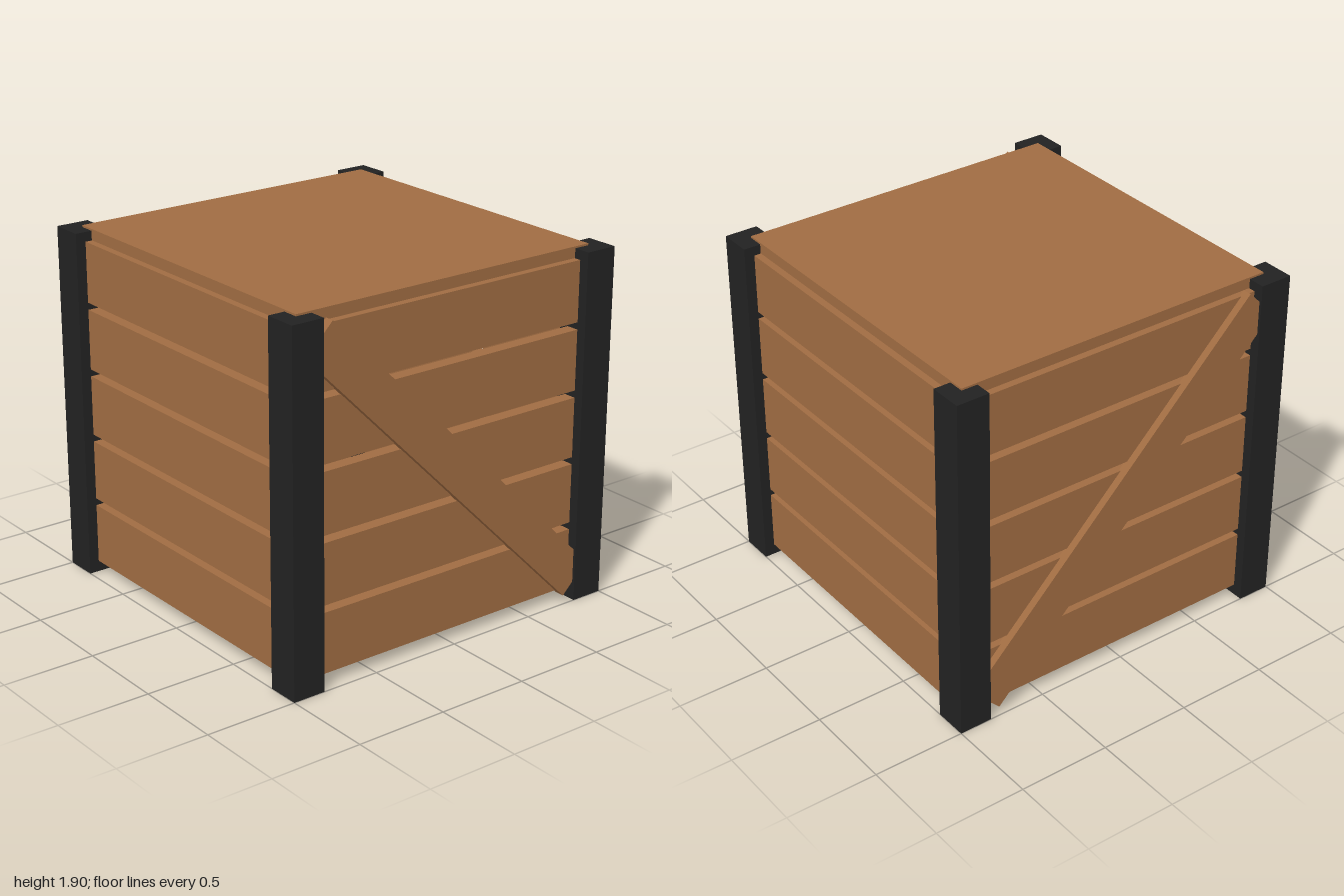
import * as THREE from 'three';

export function createModel() {
  const model = new THREE.Group();
  model.name = 'crate';
  const wood = new THREE.MeshStandardMaterial({ color: 0xa06c42 });
  wood.name = 'brown wood';
  const metal = new THREE.MeshStandardMaterial({ color: 0x222222 });
  metal.name = 'black metal';

  function box(name, material, size, position, parent = model) {
    const mesh = new THREE.Mesh(new THREE.BoxGeometry(...size), material);
    mesh.name = name;
    mesh.position.set(...position);
    parent.add(mesh);
    return mesh;
  }

  // Corner posts
  for (const x of [-0.91, 0.91]) {
    for (const z of [-0.91, 0.91]) {
      box('cornerPost', metal, [0.18, 1.89, 0.18], [x, 0.945, z]);
    }
  }

  // Five spaced slats on each of the four walls
  const slatHeight = 0.325, pitch = 0.3635;
  for (let side = 0; side < 4; side++) {
    const wall = new THREE.Group();
    wall.name = ['frontWall', 'leftWall', 'backWall', 'rightWall'][side];
    wall.rotation.y = side * Math.PI / 2;
    for (let i = 0; i < 5; i++) {
      box('slat', wood, [1.7, slatHeight, 0.07], [0, 0.06 + slatHeight / 2 + i * pitch, 0.91], wall);
    }
    model.add(wall);
  }

  // Lid; the bottom stays open
  box('lid', wood, [1.815, 0.06, 1.815], [0, 1.87, 0]);

  // Diagonal braces, both descending towards +x
  for (const [name, z] of [['frontBrace', 0.959], ['backBrace', -0.959]]) {
    box(name, wood, [2.36, 0.218, 0.052], [0, 0.95, z]).rotation.z = -Math.PI / 4;
  }

  return model;
}
